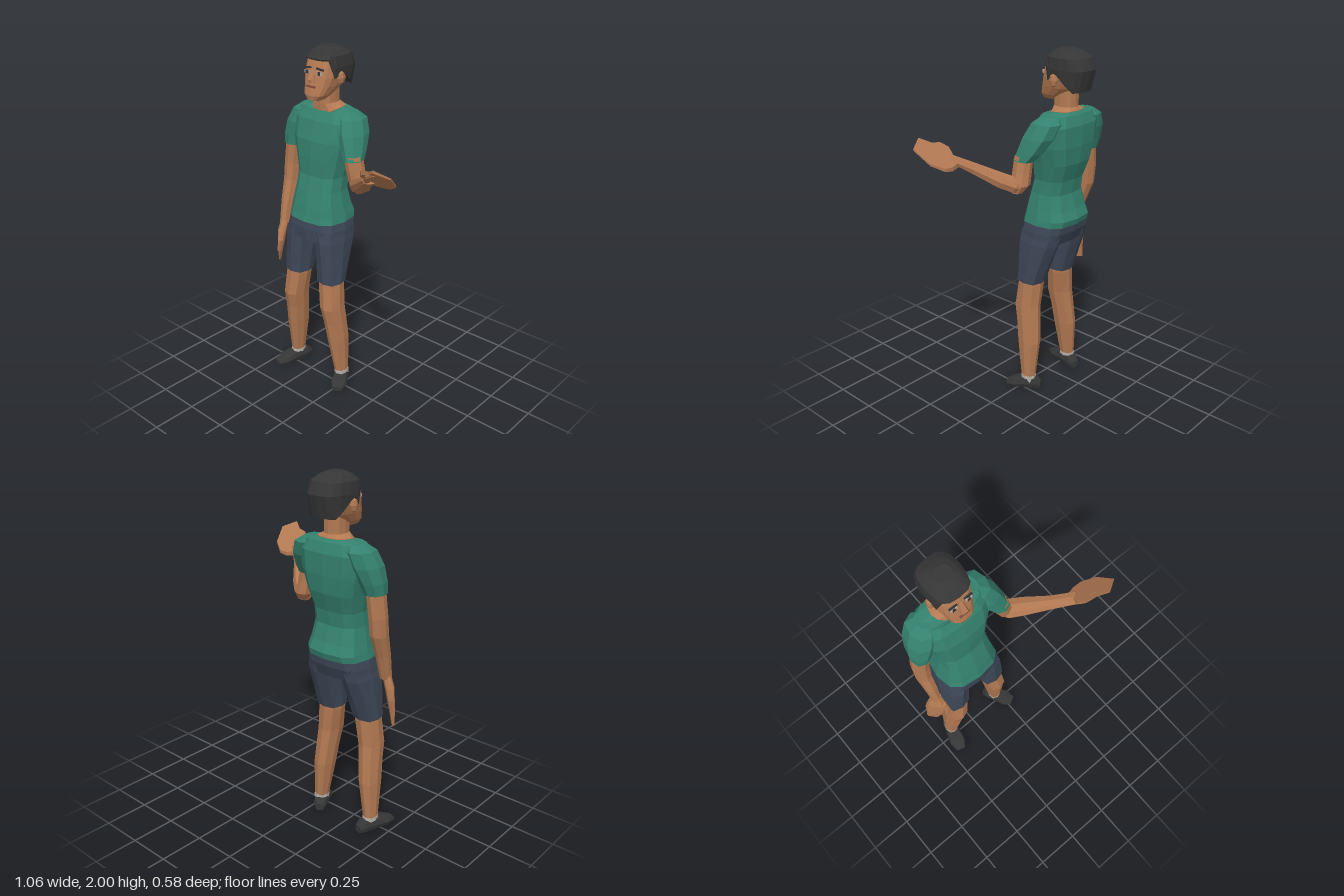
import * as THREE from 'three';

const CX = -0.215; // body midline
const mat = (name, color) => {
  const m = new THREE.MeshStandardMaterial({ color });
  m.name = name;
  return m;
};

// Faceted normals: one normal per face
function facet(geo) {
  const g = geo.index ? geo.toNonIndexed() : geo;
  g.computeVertexNormals();
  return g;
}

// Closed skin over rings [x, y, z, halfU, halfV]; power < 1 squares the section,
// adjust(point, ringIndex, sin) may move single points.
function loft(rings, { n = 8, power = 0.8, u = [1, 0, 0], v = [0, 0, 1], adjust } = {}) {
  const U = new THREE.Vector3(...u), V = new THREE.Vector3(...v);
  const pow = (t) => Math.sign(t) * Math.pow(Math.abs(t), power);
  const pos = [], idx = [];
  rings.forEach(([x, y, z, a, b], k) => {
    for (let i = 0; i < n; i++) {
      const t = (i / n) * Math.PI * 2, s = Math.sin(t);
      const p = new THREE.Vector3(x, y, z)
        .addScaledVector(U, a * pow(Math.abs(Math.cos(t)) < 1e-9 ? 0 : Math.cos(t)))
        .addScaledVector(V, b * pow(Math.abs(s) < 1e-9 ? 0 : s));
      if (adjust) adjust(p, k, s);
      pos.push(p.x, p.y, p.z);
    }
  });
  const last = rings.length - 1, c0 = rings.length * n, c1 = c0 + 1;
  pos.push(...rings[0].slice(0, 3), ...rings[last].slice(0, 3));
  const dir = new THREE.Vector3(...rings[last].slice(0, 3)).sub(new THREE.Vector3(...rings[0].slice(0, 3)));
  const flip = U.clone().cross(V).dot(dir) < 0;
  const tri = (a, b, c) => (flip ? idx.push(a, c, b) : idx.push(a, b, c));
  for (let i = 0; i < n; i++) {
    const j = (i + 1) % n;
    for (let k = 0; k < last; k++) {
      const a = k * n + i, b = k * n + j;
      tri(a, b, b + n);
      tri(a, b + n, a + n);
    }
    tri(c0, j, i);
    tri(c1, last * n + i, last * n + j);
  }
  const g = new THREE.BufferGeometry();
  g.setAttribute('position', new THREE.Float32BufferAttribute(pos, 3));
  g.setIndex(idx);
  return facet(g);
}

// Ring from height, half width, front z and back z
const slab = (y, hx, zf, zb, x = CX) => [x, y, (zf + zb) / 2, hx, (zf - zb) / 2];

export function createModel() {
  const model = new THREE.Group();
  model.name = 'standingPerson';
  const skin = mat('skin', 0xb47a53), shirt = mat('shirt green', 0x35826f);
  const shorts = mat('shorts slate', 0x3e4858), dark = mat('hair and shoe black', 0x363636);
  const sock = mat('sock grey', 0xb8b2a8), white = mat('eye white', 0xb9aca0);
  const lips = mat('lips', 0x85503c);
  const add = (name, geo, material, parent = model) => {
    const m = new THREE.Mesh(geo, material);
    m.name = name;
    parent.add(m);
    return m;
  };

  // Shirt body with a dipped neckline
  const dip = (p, k, s) => { if (k === 0 && s > 0) p.y -= 0.035 * s * s; };
  add('shirtBody', loft([
    slab(1.68, 0.105, -0.075, -0.215), slab(1.665, 0.17, -0.055, -0.228),
    slab(1.61, 0.205, -0.025, -0.248), slab(1.5, 0.192, 0.005, -0.247),
    slab(1.4, 0.165, 0.012, -0.235), slab(1.3, 0.143, 0.012, -0.2),
    slab(1.22, 0.145, 0.035, -0.19), slab(1.13, 0.162, 0.058, -0.215),
    slab(1.08, 0.172, 0.068, -0.238), slab(1.045, 0.178, 0.077, -0.228),
  ], { n: 12, power: 0.7, adjust: dip }), shirt);

  // Neck, flaring into the neckline
  add('neck', loft([
    slab(1.82, 0.055, -0.07, -0.2), slab(1.7, 0.055, -0.07, -0.2),
    slab(1.682, 0.1, -0.072, -0.212), slab(1.6, 0.08, -0.09, -0.2),
  ], { n: 12, adjust: (p, k, s) => { if (k === 2 && s > 0) p.y -= 0.033 * s * s; } }), skin);

  // Sleeves
  add('rightSleeve', loft([
    [-0.36, 1.668, -0.15, 0.035, 0.05], [-0.375, 1.635, -0.145, 0.07, 0.085],
    [-0.405, 1.56, -0.13, 0.075, 0.09], [-0.435, 1.48, -0.115, 0.06, 0.076],
    [-0.443, 1.42, -0.105, 0.053, 0.062],
  ]), shirt);
  add('leftSleeve', loft([
    [-0.07, 1.668, -0.15, 0.035, 0.05], [-0.05, 1.635, -0.145, 0.07, 0.085],
    [-0.02, 1.56, -0.12, 0.075, 0.09], [0.015, 1.48, -0.085, 0.06, 0.072],
    [0.035, 1.435, -0.06, 0.05, 0.058],
  ]), shirt);

  // Hanging right arm and hand
  add('rightArm', loft([
    [-0.443, 1.45, -0.105, 0.045, 0.052], [-0.46, 1.3, -0.1, 0.045, 0.05],
    [-0.463, 1.2, -0.09, 0.042, 0.05], [-0.46, 1.08, -0.05, 0.035, 0.042],
    [-0.457, 0.94, -0.015, 0.027, 0.034],
  ]), skin);
  const palm = { u: [0.67, 0, 0.74], v: [-0.74, 0, 0.67] };
  add('rightHand', loft([
    [-0.457, 0.96, -0.012, 0.03, 0.024], [-0.47, 0.89, 0, 0.055, 0.026],
    [-0.48, 0.83, 0, 0.06, 0.022], [-0.492, 0.76, 0, 0.05, 0.016],
    [-0.507, 0.69, -0.01, 0.035, 0.008],
  ], palm), skin);
  add('rightThumb', loft([
    [-0.447, 0.91, 0.03, 0.018, 0.018], [-0.438, 0.85, 0.05, 0.018, 0.016],
    [-0.447, 0.78, 0.055, 0.01, 0.01],
  ], { n: 6, ...palm }), skin);

  // Bent left arm
  add('leftUpperArm', loft([
    [0.035, 1.46, -0.06, 0.044, 0.05], [0.05, 1.38, -0.06, 0.047, 0.05],
    [0.068, 1.31, -0.065, 0.047, 0.05], [0.085, 1.268, -0.055, 0.03, 0.03],
  ]), skin);
  const fore = { u: [0.68, 0, -0.735], v: [-0.35, 0.89, -0.31] };
  add('leftForearm', loft([
    [0.055, 1.285, -0.075, 0.03, 0.025], [0.09, 1.308, -0.045, 0.054, 0.043],
    [0.15, 1.34, 0.005, 0.052, 0.042], [0.25, 1.408, 0.1, 0.038, 0.03],
    [0.345, 1.468, 0.18, 0.036, 0.02],
  ], fore), skin);

  // Open left hand: flat outline tilted onto the palm plane
  const outline = [[0.315, 0.215], [0.335, 0.13], [0.38, 0.118], [0.43, 0.12], [0.495, 0.16],
    [0.53, 0.245], [0.455, 0.29], [0.4, 0.255], [0.345, 0.245]];
  const hand = new THREE.ExtrudeGeometry(
    new THREE.Shape(outline.map(([x, z]) => new THREE.Vector2(x, -z))), { depth: 0.026, bevelEnabled: false });
  hand.rotateX(-Math.PI / 2);
  const hp = hand.attributes.position;
  for (let i = 0; i < hp.count; i++) {
    const x = hp.getX(i), z = hp.getZ(i);
    const thin = THREE.MathUtils.clamp(1 - (x - 0.32) * 3, 0.35, 1);
    hp.setY(i, hp.getY(i) * thin + 1.462 + 0.1 * (x - 0.32) + 0.8 * (z - 0.18));
  }
  add('leftHand', facet(hand), skin);
  add('leftThumb', loft([
    [0.345, 1.475, 0.2, 0.02, 0.016], [0.385, 1.515, 0.235, 0.018, 0.014], [0.435, 1.54, 0.255, 0.009, 0.008],
  ], { n: 6, ...fore }), skin);

  // Shorts seat
  add('shortsSeat', loft([
    slab(1.07, 0.168, 0.062, -0.222), slab(1.0, 0.18, 0.07, -0.212), slab(0.93, 0.185, 0.066, -0.18),
  ], { n: 12, power: 0.6 }), shorts);

  // Legs, mirrored about the midline; feet turn out by different amounts
  for (const [side, s, dx, dz, size] of [['right', -1, -0.25, 0.97, 1], ['left', 1, 0.5, 0.866, 0.85]]) {
    const at = (y, off, hx, zf, zb) => slab(y, hx, zf, zb, CX + s * off);
    add(side + 'ShortsLeg', loft([
      at(1.0, 0.098, 0.078, 0.06, -0.2), at(0.93, 0.113, 0.075, 0.068, -0.182),
      at(0.8, 0.121, 0.074, 0.064, -0.13), at(0.68, 0.127, 0.073, 0.062, -0.086),
    ], { power: 0.7 }), shorts);
    add(side + 'Leg', loft([
      at(0.72, 0.126, 0.066, 0.055, -0.08), at(0.66, 0.13, 0.067, 0.06, -0.08),
      at(0.52, 0.146, 0.06, 0.076, -0.076), at(0.42, 0.155, 0.056, 0.055, -0.085),
      at(0.3, 0.165, 0.052, 0.04, -0.096), at(0.07, 0.182, 0.036, 0.002, -0.08),
    ]), skin);
    add(side + 'Sock', loft([at(0.083, 0.182, 0.038, 0.004, -0.083), at(0.04, 0.182, 0.037, 0.004, -0.083)]), sock);
    const ax = CX + s * 0.182;
    add(side + 'Shoe', loft([
      [-0.085, 0.025, 0.022], [-0.05, 0.04, 0.035], [0.02, 0.045, 0.034], [0.1, 0.05, 0.025], [0.155, 0.03, 0.014],
    ].map(([d, w, h]) => [ax + dx * d * size, h, -0.04 + dz * d * size, w, h]),
    { power: 0.6, u: [dz, 0, -dx], v: [0, 1, 0] }), dark);
  }

  // Head
  const head = new THREE.Group();
  head.name = 'head';
  model.add(head);
  add('face', loft([
    slab(1.728, 0.04, 0.005, -0.09), slab(1.755, 0.066, 0.01, -0.13), slab(1.8, 0.084, 0, -0.21),
    slab(1.85, 0.097, -0.012, -0.25), slab(1.9, 0.1, -0.025, -0.265), slab(1.95, 0.095, -0.042, -0.25),
    slab(1.975, 0.06, -0.07, -0.21),
  ], { n: 16, power: 0.7 }), skin, head);

  // Short hair: lower edge runs hairline, sideburn, over the ear, nape
  const edge = (s) => (s > 0.6 ? 1.943 : s > 0.3 ? 1.84 : s > -0.1 ? 1.872 : s > -0.5 ? 1.82 : 1.787);
  add('hair', loft([
    slab(1.86, 0.102, -0.025, -0.262), slab(1.9, 0.106, -0.026, -0.291),
    slab(1.96, 0.1, -0.04, -0.265), slab(1.985, 0.075, -0.07, -0.22), slab(2.0, 0.045, -0.1, -0.18),
  ], { n: 16, power: 0.7, adjust: (p, k, s) => {
    if (k === 0) p.y = edge(s);
    if (k === 1) p.y = Math.max(edge(s) + 0.004, 1.9);
  } }), dark, head);

  // Facial features
  add('nose', loft([
    [CX, 1.888, -0.022, 0.01, 0.008], [CX, 1.84, -0.005, 0.018, 0.02], [CX, 1.824, -0.004, 0.021, 0.016],
  ], { n: 6 }), skin, head);
  add('mouth', new THREE.BoxGeometry(0.06, 0.011, 0.009), lips, head).position.set(CX, 1.802, -0.001);
  for (const s of [-1, 1]) {
    const side = s < 0 ? 'right' : 'left', x = CX + s * 0.043;
    add(side + 'Eye', new THREE.BoxGeometry(0.036, 0.018, 0.008), white, head).position.set(x, 1.873, -0.022);
    add(side + 'Iris', new THREE.BoxGeometry(0.018, 0.018, 0.009), dark, head).position.set(x, 1.873, -0.02);
    const brow = add(side + 'Brow', new THREE.BoxGeometry(0.048, 0.009, 0.009), dark, head);
    brow.position.set(x, 1.895, -0.026);
    brow.rotation.z = -s * 0.1;
    const ear = facet(new THREE.SphereGeometry(1, 6, 4));
    ear.scale(0.016, 0.036, 0.026);
    add(side + 'Ear', facet(ear), skin, head).position.set(CX + s * 0.102, 1.843, -0.128);
  }
  return model;
}
